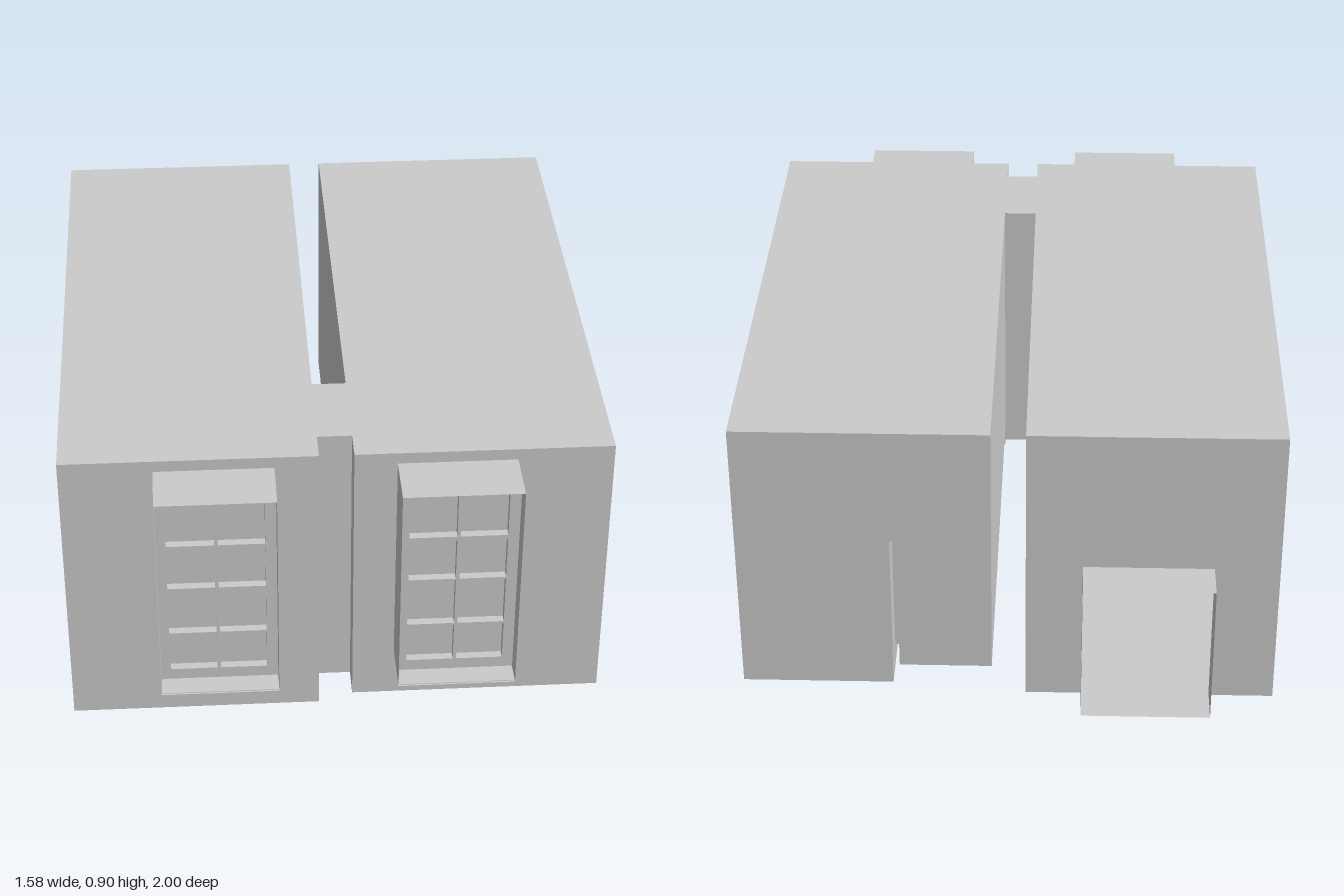
import * as THREE from 'three';

const mat = new THREE.MeshStandardMaterial({ color: 0xcccccc, flatShading: true, side: THREE.DoubleSide });
const Z0 = -0.88, Z1 = 0.835, TOP = 0.905;

function add(parent, name, geo) {
  const m = new THREE.Mesh(geo, mat);
  m.name = name;
  parent.add(m);
  return m;
}

function box(parent, name, x0, x1, y0, y1, z0, z1) {
  add(parent, name, new THREE.BoxGeometry(x1 - x0, y1 - y0, z1 - z0))
    .position.set((x0 + x1) / 2, (y0 + y1) / 2, (z0 + z1) / 2);
}

const shapeOf = (pts) => new THREE.Shape(pts.map((p) => new THREE.Vector2(p[0], p[1])));
const rect = (x0, x1, y0, y1) => [[x0, y0], [x1, y0], [x1, y1], [x0, y1]];

// Solid prism running along z
function prism(parent, name, shape, z0, z1) {
  const geo = new THREE.ExtrudeGeometry(shape, { depth: z1 - z0, bevelEnabled: false });
  add(parent, name, geo).position.z = z0;
}

// Thin four-sided sleeve along z, open at both ends
function sleeve(parent, name, x0, x1, y0, y1, z0, z1) {
  const pts = rect(x0, x1, y0, y1), pos = [], idx = [];
  pts.forEach((a, i) => {
    const b = pts[(i + 1) % 4], n = i * 4;
    pos.push(a[0], a[1], z0, b[0], b[1], z0, b[0], b[1], z1, a[0], a[1], z1);
    idx.push(n, n + 1, n + 2, n, n + 2, n + 3);
  });
  const geo = new THREE.BufferGeometry();
  geo.setAttribute('position', new THREE.Float32BufferAttribute(pos, 3));
  geo.setIndex(idx);
  geo.computeVertexNormals();
  add(parent, name, geo);
}

// Flat wall facing z, with optional rectangular holes
function wall(parent, name, outline, holes, z) {
  const s = shapeOf(outline);
  holes.forEach((h) => s.holes.push(shapeOf(rect(...h))));
  add(parent, name, new THREE.ShapeGeometry(s)).position.z = z;
}

// Window bay: sleeve, recessed frame with eight panes, glass and sill
function windowBay(x0) {
  const g = new THREE.Group();
  g.name = 'windowBay';
  sleeve(g, 'windowReveal', 0, 0.342, 0.19, 0.87, Z1, 1);
  const frame = shapeOf(rect(0, 0.342, 0.19, 0.87));
  for (const [y0, y1] of [[0.228, 0.355], [0.362, 0.518], [0.525, 0.662], [0.676, 0.835]]) {
    for (const [a, b] of [[0.028, 0.165], [0.175, 0.31]]) {
      frame.holes.push(shapeOf(rect(a, b, y0, y1)));
    }
  }
  prism(g, 'windowFrame', frame, 0.9, 0.93);
  wall(g, 'windowGlass', rect(0, 0.342, 0.19, 0.87), [], 0.905);
  box(g, 'windowSill', 0.005, 0.337, 0.184, 0.192, Z1, 0.995);
  g.position.x = x0;
  return g;
}

export function createModel() {
  const model = new THREE.Group();
  model.name = 'twoRoomBuilding';

  // Hollow room with a doorway in its back wall
  const room = new THREE.Group();
  room.name = 'doorRoom';
  const door = [-0.6, -0.22, 0.01, 0.46], outline = rect(-0.79, -0.055, 0, TOP);
  sleeve(room, 'roomShell', -0.79, -0.055, 0, TOP, Z0, Z1);
  wall(room, 'frontWall', outline, [], Z1);
  wall(room, 'backWall', outline, [door], Z0);
  sleeve(room, 'doorReveal', ...door, -1, Z0);
  box(room, 'innerWallPanel', -0.056, -0.052, 0.2, 0.6, -0.25, 0.32);
  model.add(room);

  // Second room: raised strip of floor beside the gap, narrow slot in the back
  const hall = new THREE.Group();
  hall.name = 'hallRoom';
  const x0 = 0.045, x1 = 0.785, y0 = 0.03, ys = 0.095, xs = 0.338;
  const upper = [[x1, y0], [x1, TOP], [x0, TOP], [x0, ys]];
  prism(hall, 'slottedBack', shapeOf([...upper, [xs - 0.02, ys], [xs - 0.02, 0.54], [xs, 0.54], [xs, y0]]), Z0, -0.78);
  prism(hall, 'hallBody', shapeOf([...upper, [xs, ys], [xs, y0]]), -0.78, 0.44);
  prism(hall, 'hallFront', shapeOf(rect(x0, x1, y0, TOP)), 0.44, Z1);
  model.add(hall);

  // Row of hanging pyramids between thin ribs under the raised strip
  for (let i = 0; i < 5; i++) {
    const z = -0.76 + i * 0.255;
    const geo = new THREE.CylinderGeometry(0.092, 0.012, 0.045, 4);
    geo.rotateY(Math.PI / 4);
    add(hall, 'hangingPyramid', geo).position.set(0.19, ys - 0.0225, z);
    box(hall, 'ceilingRib', x0, xs, ys - 0.008, ys, z + 0.115, z + 0.127);
  }

  // Passage joining the two rooms
  box(model, 'passage', -0.055, x0, y0, TOP, 0.47, 0.74);

  model.add(windowBay(-0.522), windowBay(0.168));
  return model;
}
